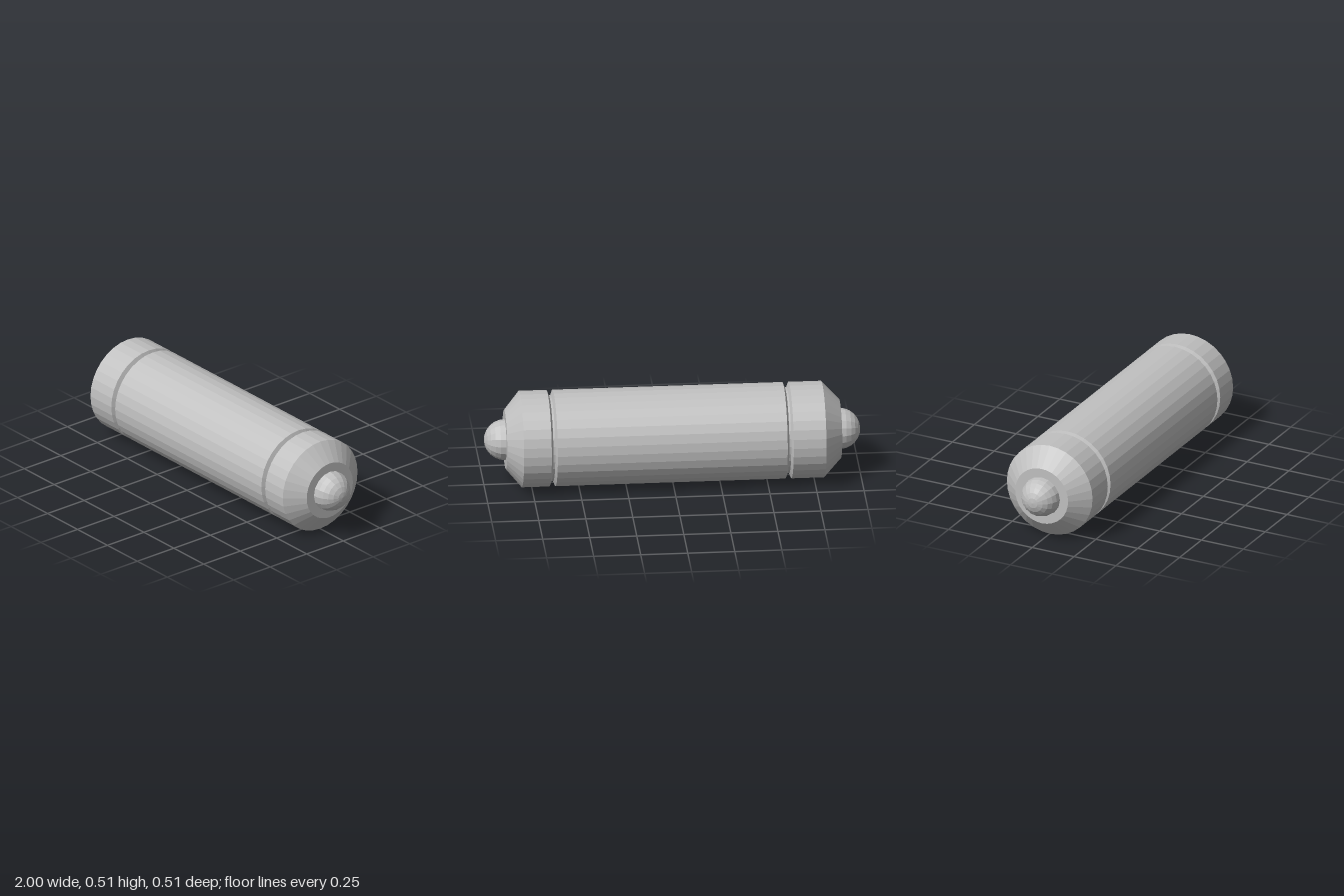
import * as THREE from 'three';

export function createModel() {
  const group = new THREE.Group();
  const grey = new THREE.MeshStandardMaterial({ color: 0xc0c0c0, flatShading: true });
  grey.name = 'plain grey';

  const R = 0.256, FLOOR = 0.228, CAP = 0.158, TIP = 0.109;
  const LEFT_END = 0.888, RIGHT_END = -0.892;

  // Faceted solid turned about the x axis from [x, radius] points, in rising x
  function turned(name, profile, sides) {
    const points = profile.map(([x, r]) => new THREE.Vector2(r, x));
    const mesh = new THREE.Mesh(new THREE.LatheGeometry(points, sides), grey);
    mesh.name = name;
    mesh.rotation.z = -Math.PI / 2;
    mesh.position.y = 0.257;
    group.add(mesh);
  }

  // Tube with chamfered, flat ends and a narrow groove near each end
  const groove = (x) => [[x - 0.016, R], [x - 0.005, FLOOR], [x + 0.005, FLOOR], [x + 0.016, R]];
  turned('body', [
    [RIGHT_END, 0], [RIGHT_END, CAP], [-0.8, R],
    ...groove(-0.61), ...groove(0.644),
    [0.807, R], [LEFT_END, CAP], [LEFT_END, 0],
  ], 32);

  // Rounded knob on each end
  const RINGS = 6;
  for (const [name, base, side] of [['leftKnob', LEFT_END, 1], ['rightKnob', RIGHT_END, -1]]) {
    const length = 1 - Math.abs(base);
    const profile = [];
    for (let i = 0; i <= RINGS; i++) {
      const a = (i / RINGS) * Math.PI / 2;
      const r = i === RINGS ? 0 : TIP * Math.cos(a);
      profile.push([base + side * length * Math.sin(a), r]);
    }
    if (side < 0) profile.reverse();
    turned(name, profile, 16);
  }

  return group;
}
